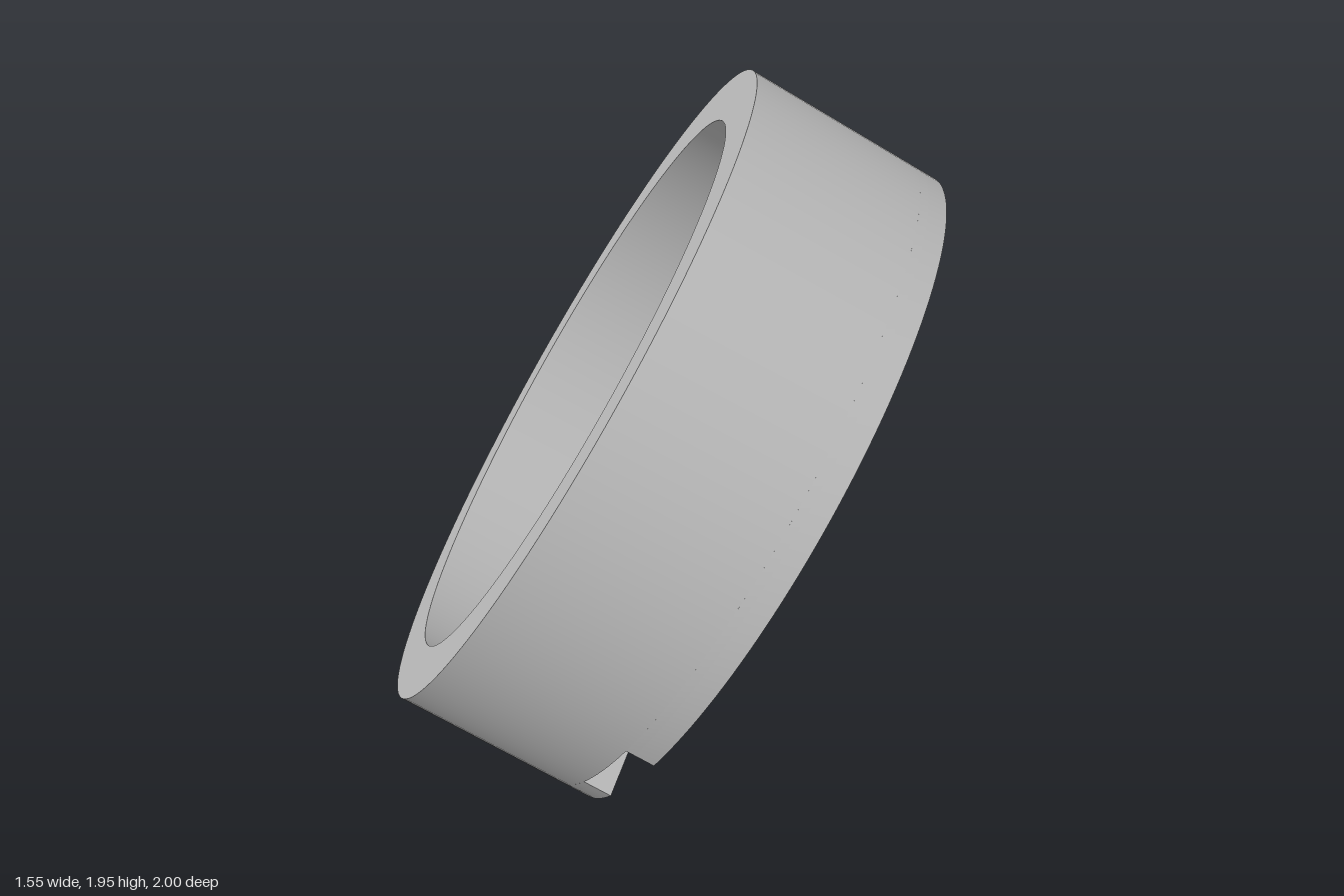
import * as THREE from 'three';
import { toCreasedNormals } from 'three/addons/utils/BufferGeometryUtils.js';

const OUTER = 0.96, INNER = 0.805, HEIGHT = 0.57;
const FLOOR = 0.055;                                   // floor thickness
const NOTCH_TOP = 0.08, NOTCH_HALF = 0.147, NOTCH_IN = 0.634;
const SEGMENTS = 72;                                   // per curve

export function createModel() {
  const grey = new THREE.MeshStandardMaterial({ color: 0xbebebe });
  grey.name = 'grey';

  const cap = new THREE.Group();
  cap.name = 'cap';

  // Extrudes a flat outline along the cap's axis between two heights
  const addLayer = (name, shape, from, to) => {
    const extruded = new THREE.ExtrudeGeometry(shape, {
      depth: to - from, bevelEnabled: false, curveSegments: SEGMENTS,
    });
    const mesh = new THREE.Mesh(toCreasedNormals(extruded, 0.5), grey);
    mesh.name = name;
    mesh.position.z = from;
    cap.add(mesh);
  };

  const outerAngle = Math.asin(NOTCH_HALF / OUTER);
  const innerAngle = Math.asin(NOTCH_HALF / INNER);

  // Floor disc with the rectangular notch cut in from its edge
  const floor = new THREE.Shape();
  floor.absarc(0, 0, OUTER, outerAngle, Math.PI * 2 - outerAngle, false);
  floor.lineTo(NOTCH_IN, -NOTCH_HALF);
  floor.lineTo(NOTCH_IN, NOTCH_HALF);
  floor.closePath();
  addLayer('floor', floor, 0, FLOOR);

  // Low part of the wall, still open at the notch
  const openRing = new THREE.Shape();
  openRing.absarc(0, 0, OUTER, outerAngle, Math.PI * 2 - outerAngle, false);
  openRing.absarc(0, 0, INNER, Math.PI * 2 - innerAngle, innerAngle, true);
  openRing.closePath();
  addLayer('notchedWall', openRing, FLOOR, NOTCH_TOP);

  // Full wall up to the rim
  const ring = new THREE.Shape();
  ring.absarc(0, 0, OUTER, 0, Math.PI * 2, false);
  const bore = new THREE.Path();
  bore.absarc(0, 0, INNER, 0, Math.PI * 2, true);
  ring.holes.push(bore);
  addLayer('wall', ring, NOTCH_TOP, HEIGHT);

  // Tilt: local z is the cap's axis, local x points at the notch
  const axis = new THREE.Vector3(-0.829, 0.503, -0.245).normalize();
  const toNotch = new THREE.Vector3(-0.49, -0.44, 0.752);
  toNotch.addScaledVector(axis, -toNotch.dot(axis)).normalize();
  const side = new THREE.Vector3().crossVectors(axis, toNotch);
  cap.quaternion.setFromRotationMatrix(new THREE.Matrix4().makeBasis(toNotch, side, axis));
  cap.position.set(0, 0.975, 0).addScaledVector(axis, -HEIGHT / 2);

  const model = new THREE.Group();
  model.name = 'tiltedCap';
  model.add(cap);
  return model;
}
